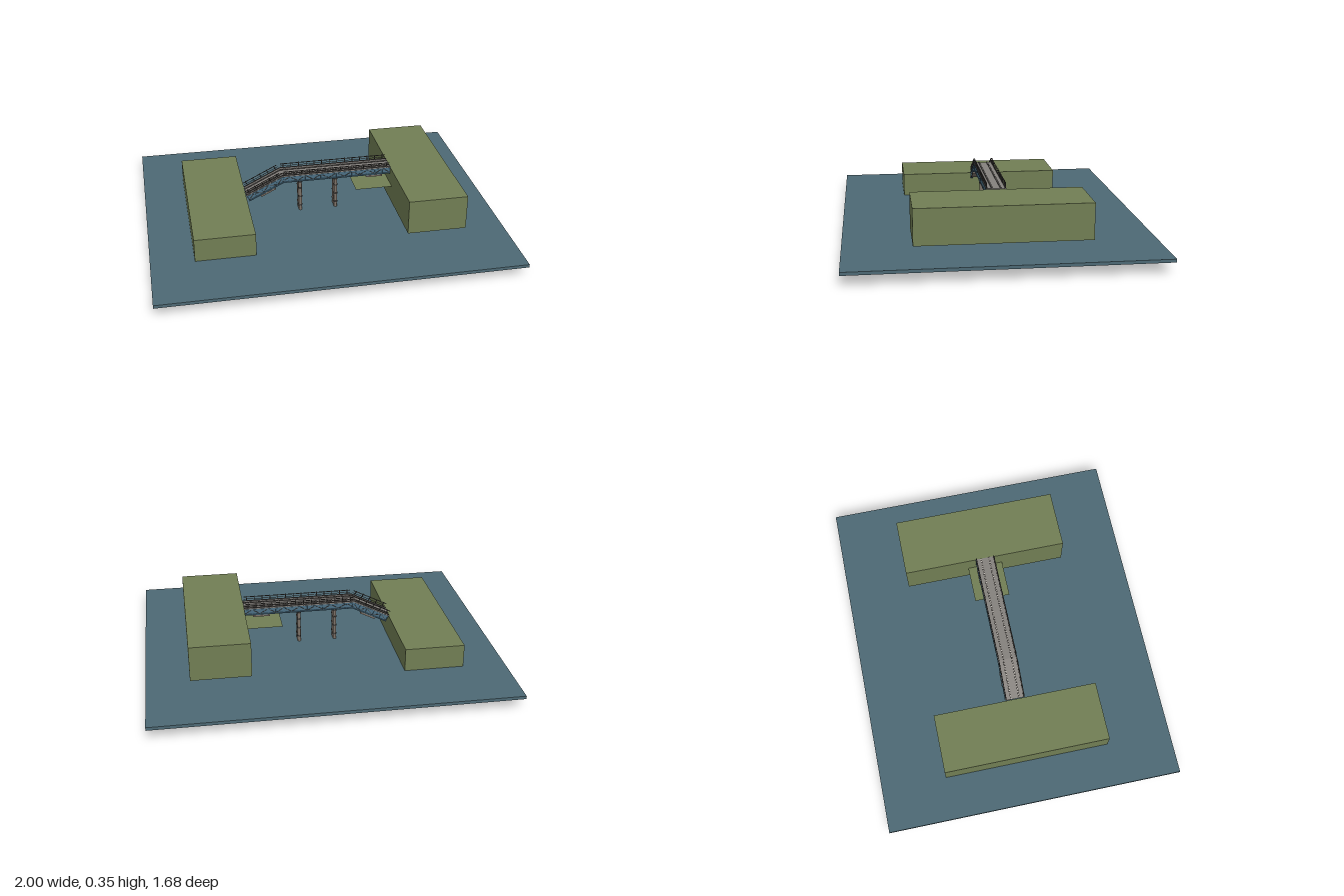
import * as THREE from 'three';

const mat = (name, color, extra = {}) => {
  const m = new THREE.MeshStandardMaterial({ color, ...extra });
  m.name = name;
  return m;
};

export function createModel() {
  const water = mat('water blue', 0x4d6974);
  const grass = mat('grass green', 0x717e54);
  const ledgeGreen = mat('ledge green', 0x717e54, { side: THREE.DoubleSide });
  const steel = mat('steel blue', 0x4b6f84);
  const deckGrey = mat('deck grey', 0x85817d);
  const stone = mat('pier stone', 0x7d7268);
  const dark = mat('dark iron', 0x45423f);
  const pale = mat('pale stud', 0xb9b5ae);

  const root = new THREE.Group();
  root.name = 'riverBridge';

  const add = (parent, name, geo, m, x, y, z) => {
    const mesh = new THREE.Mesh(geo, m);
    mesh.name = name;
    mesh.position.set(x, y, z);
    parent.add(mesh);
    return mesh;
  };
  const box = (parent, name, m, w, h, d, x, y, z) =>
    add(parent, name, new THREE.BoxGeometry(w, h, d), m, x, y, z);

  // Water slab and the two banks
  box(root, 'water', water, 2, 0.018, 1.68, 0, 0.071, 0);
  box(root, 'lowBank', grass, 0.335, 0.132, 0.945, -0.5925, 0.146, 0);
  box(root, 'highBank', grass, 0.335, 0.2, 0.945, 0.5925, 0.22, 0);
  const ledge = add(root, 'ledge', new THREE.PlaneGeometry(0.215, 0.205), ledgeGreen, 0.3175, 0.22, 0);
  ledge.rotation.x = -Math.PI / 2;

  // One bridge span: starts at local x = 0, deck top at y = 0
  function span(name, length, panels, bearingX) {
    const g = new THREE.Group();
    g.name = name;
    const mid = length / 2;
    const pitch = length / panels;
    box(g, 'deck', deckGrey, length, 0.008, 0.108, mid, -0.004, 0);

    for (const s of [-1, 1]) {
      // Plate girder with flanges, stiffeners and diagonals
      box(g, 'girderWeb', steel, length, 0.036, 0.006, mid, -0.024, s * 0.046);
      box(g, 'topFlange', steel, length, 0.006, 0.014, mid, -0.009, s * 0.049);
      box(g, 'bottomFlange', steel, length, 0.005, 0.014, mid, -0.0405, s * 0.049);
      for (let i = 0; i <= panels; i++) {
        const x = Math.min(Math.max(i * pitch, 0.002), length - 0.002);
        box(g, 'stiffener', steel, 0.003, 0.03, 0.008, x, -0.025, s * 0.051);
        if (i < panels) {
          const brace = box(g, 'diagonal', dark, Math.hypot(pitch, 0.026), 0.003, 0.003,
            (i + 0.5) * pitch, -0.025, s * 0.05);
          brace.rotation.z = (i % 2 ? -1 : 1) * Math.atan2(0.026, pitch);
        }
      }

      // Kerb and handrail
      box(g, 'kerb', dark, length, 0.004, 0.004, mid, 0.002, s * 0.05);
      box(g, 'handrail', dark, length - 0.012, 0.003, 0.004, mid, 0.0255, s * 0.052);
      box(g, 'middleRail', dark, length - 0.012, 0.002, 0.002, mid, 0.012, s * 0.052);
      for (let i = 0; i < panels; i++) {
        box(g, 'railPost', dark, 0.004, 0.036, 0.005, (i + 0.5) * pitch, 0.011, s * 0.052);
      }

      // Track strip with a row of pale studs
      box(g, 'trackStrip', dark, length, 0.004, 0.008, mid, 0.002, s * 0.024);
      const studs = panels * 3;
      for (let i = 0; i < studs; i++) {
        box(g, 'stud', pale, 0.007, 0.004, 0.006, (i + 0.5) * length / studs, 0.0035, s * 0.024);
      }
    }

    // Cross beams below and bearing block
    for (let i = 0; i < panels; i++) {
      box(g, 'crossBeam', steel, 0.006, 0.02, 0.09, (i + 0.5) * pitch, -0.018, 0);
    }
    box(g, 'bearingBlock', stone, 0.095, 0.01, 0.116, bearingX, -0.048, 0);
    root.add(g);
    return g;
  }

  const rise = 0.105, run = 0.21;
  span('levelSpan', 0.64, 14, 0.542).position.set(-0.215, 0.325, 0);
  const ramp = span('slopingSpan', Math.hypot(run, rise), 5, 0.12);
  ramp.position.set(-0.425, 0.22, 0);
  ramp.rotation.z = Math.atan2(rise, run);

  // Piers: twin columns with bands, joined by a wall
  for (const x of [-0.105, 0.105]) {
    const pier = new THREE.Group();
    pier.name = 'pier';
    pier.position.x = x;
    box(pier, 'pierWall', stone, 0.017, 0.272, 0.048, 0, 0.141, 0);
    box(pier, 'pierCap', stone, 0.027, 0.01, 0.068, 0, 0.277, 0);
    for (const s of [-1, 1]) {
      add(pier, 'column', new THREE.CylinderGeometry(0.0095, 0.0095, 0.28, 10), stone, 0, 0.14, s * 0.024);
      for (const y of [0.005, 0.06, 0.115, 0.17, 0.225, 0.266]) {
        add(pier, 'columnBand', new THREE.CylinderGeometry(0.012, 0.012, 0.008, 10), dark, 0, y, s * 0.024);
      }
    }
    root.add(pier);
  }
  return root;
}
